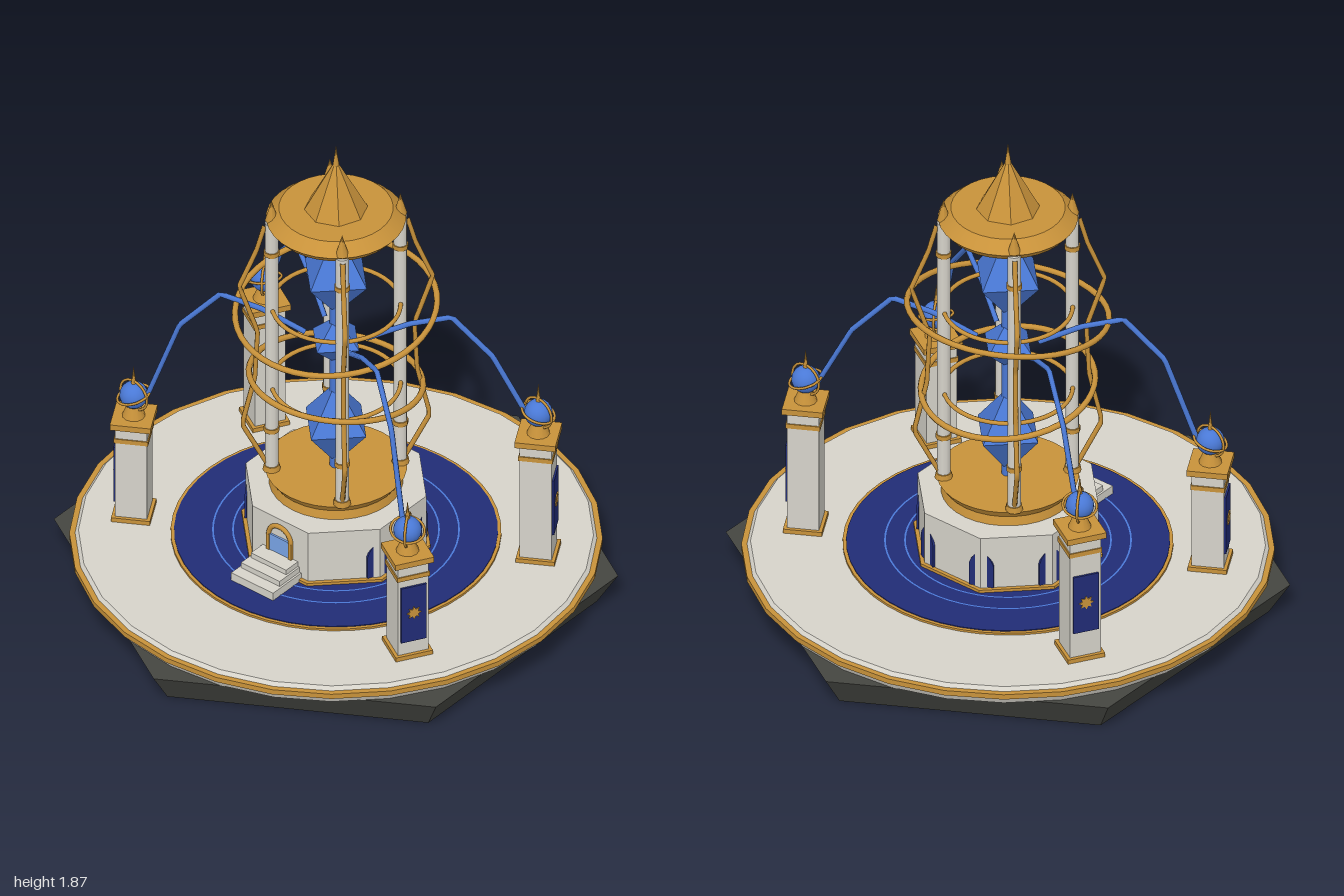
import * as THREE from 'three';

const mat = (name, color, flatShading = false) => {
  const m = new THREE.MeshStandardMaterial({ color, flatShading });
  m.name = name;
  return m;
};

export function createModel() {
  const root = new THREE.Group();
  root.name = 'crystalTower';
  const gold = mat('gold', 0xc8923a);
  const stone = mat('paleStone', 0xd6d3ca);
  const navy = mat('navy', 0x212c76);
  const blue = mat('crystalBlue', 0x4a79d6);
  const glass = mat('doorBlue', 0x7ba6ea);
  const rock = mat('darkRock', 0x454641);
  const FLAT = { flat: true };

  const add = (parent, name, geo, material, x = 0, y = 0, z = 0) => {
    const mesh = new THREE.Mesh(geo, material);
    mesh.name = name;
    mesh.position.set(x, y, z);
    parent.add(mesh);
    return mesh;
  };
  // cylinder given by its bottom and top heights; few-sided ones get hard facets
  const drum = (parent, name, material, rBottom, rTop, y0, y1, sides = 32, opts = {}) => {
    let geo = new THREE.CylinderGeometry(rTop, rBottom, y1 - y0, sides);
    if (opts.turn) geo.rotateY(opts.turn);
    if (opts.flat) { geo = geo.toNonIndexed(); geo.computeVertexNormals(); }
    return add(parent, name, geo, material, opts.x || 0, (y0 + y1) / 2, opts.z || 0);
  };
  const box = (parent, name, material, w, y0, y1, d, x = 0, z = 0) =>
    add(parent, name, new THREE.BoxGeometry(w, y1 - y0, d), material, x, (y0 + y1) / 2, z);
  const ring = (parent, name, material, r, tube, y, tilt = 0) => {
    const m = add(parent, name, new THREE.TorusGeometry(r, tube, 8, 48), material, 0, y, 0);
    m.rotation.x = Math.PI / 2 + tilt;
    return m;
  };
  // group whose local +z points away from the centre
  const spoke = (name, angle) => {
    const g = new THREE.Group();
    g.name = name;
    g.rotation.y = angle;
    root.add(g);
    return g;
  };
  // angular tube through points given as [outward, height]
  const bentRod = (parent, name, material, pts, radius) => {
    const path = new THREE.CurvePath();
    const v = pts.map(([r, y]) => new THREE.Vector3(0, y, r));
    for (let i = 1; i < v.length; i++) path.add(new THREE.LineCurve3(v[i - 1], v[i]));
    return add(parent, name, new THREE.TubeGeometry(path, 40, radius, 6), material);
  };

  // rock base and round platform
  drum(root, 'rockBase', rock, 0.925, 1, 0, 0.12, 6, FLAT);
  drum(root, 'platformFoot', stone, 0.905, 0.92, 0.12, 0.152, 28);
  drum(root, 'platformBand', gold, 0.932, 0.932, 0.152, 0.172, 28);
  drum(root, 'platformTop', stone, 0.912, 0.9, 0.172, 0.185, 28);
  drum(root, 'plazaRim', gold, 0.578, 0.578, 0.185, 0.193, 48);
  drum(root, 'plazaFloor', navy, 0.566, 0.566, 0.185, 0.196, 48);
  for (const r of [0.36, 0.43]) {
    const inlay = add(root, 'plazaInlay', new THREE.RingGeometry(r - 0.003, r + 0.003, 64), blue, 0, 0.198, 0);
    inlay.rotation.x = -Math.PI / 2;
  }

  // octagonal hall
  const turn = Math.PI / 8;
  drum(root, 'hallPlinth', gold, 0.345, 0.345, 0.19, 0.207, 8, { flat: true, turn });
  drum(root, 'hall', stone, 0.33, 0.33, 0.2, 0.415, 8, { flat: true, turn });
  drum(root, 'hallCollar', gold, 0.235, 0.225, 0.415, 0.45);
  drum(root, 'hallDeck', gold, 0.23, 0.25, 0.45, 0.48);

  // pointed windows wrapped on the hall corners
  const arch = new THREE.Shape();
  arch.moveTo(-0.045, 0.21);
  arch.lineTo(0.045, 0.21);
  arch.lineTo(0.045, 0.3);
  arch.quadraticCurveTo(0.035, 0.335, 0, 0.36);
  arch.quadraticCurveTo(-0.035, 0.335, -0.045, 0.3);
  const archGeo = new THREE.ExtrudeGeometry(arch, { depth: 0.008, bevelEnabled: false, curveSegments: 4 });
  for (const side of [-1, 1]) for (const deg of [67.5, 112.5, 157.5])
    add(spoke('windowBay', side * deg * Math.PI / 180), 'window', archGeo, navy, 0, 0, 0.313);

  // door and steps
  box(root, 'door', glass, 0.09, 0.2, 0.338, 0.012, 0, 0.306);
  add(root, 'doorArch', new THREE.TorusGeometry(0.05, 0.009, 8, 16, Math.PI), gold, 0, 0.335, 0.308);
  for (const s of [-1, 1]) box(root, 'doorPost', gold, 0.014, 0.2, 0.336, 0.016, s * 0.05, 0.308);
  [[0.19, 0.46, 0.228], [0.175, 0.415, 0.25], [0.16, 0.37, 0.27]].forEach(([w, z, y]) =>
    box(root, 'step', stone, w, 0.19, y, z - 0.29, 0, (z + 0.29) / 2));

  // crystal core
  drum(root, 'coreRod', blue, 0.022, 0.022, 0.48, 1.54, 8);
  for (const [y0, yMid, y1, r] of [[0.49, 0.665, 0.84, 0.137], [0.925, 1.025, 1.125, 0.105], [1.14, 1.31, 1.51, 0.14]]) {
    drum(root, 'crystalLower', blue, 0, r, y0, yMid, 4, FLAT);
    drum(root, 'crystalUpper', blue, r, 0, yMid, y1, 4, FLAT);
  }

  // columns with bands, finials and bowed ribs
  for (let i = 0; i < 4; i++) {
    const g = spoke('columnBay', Math.PI / 4 + i * Math.PI / 2);
    const at = { z: 0.226 };
    drum(g, 'column', stone, 0.024, 0.024, 0.48, 1.55, 10, at);
    for (const y of [0.655, 1.42]) drum(g, 'columnBand', gold, 0.028, 0.028, y - 0.009, y + 0.009, 10, at);
    drum(g, 'columnFoot', gold, 0.032, 0.028, 0.478, 0.5, 10, at);
    drum(g, 'finial', gold, 0.024, 0, 1.56, 1.645, 8, at);
    bentRod(g, 'rib', gold, [[0.24, 0.5], [0.33, 0.68], [0.285, 0.88], [0.275, 1.08], [0.34, 1.28], [0.28, 1.43], [0.25, 1.54]], 0.009);
  }

  // hoops
  ring(root, 'upperHoop', gold, 0.355, 0.011, 1.168, 0.145);
  ring(root, 'lowerHoop', gold, 0.306, 0.011, 0.86, -0.14);
  ring(root, 'upperTie', gold, 0.226, 0.008, 1.18);
  ring(root, 'lowerTie', gold, 0.226, 0.008, 0.84);

  // roof and spire
  drum(root, 'roofBrim', gold, 0.222, 0.245, 1.53, 1.558);
  drum(root, 'roofDome', gold, 0.245, 0.2, 1.558, 1.598);
  drum(root, 'spire', gold, 0.113, 0.012, 1.595, 1.785, 8, FLAT);
  drum(root, 'spireTip', gold, 0.012, 0, 1.78, 1.87, 8);

  // eight-pointed emblem
  const star = new THREE.Shape();
  for (let i = 0; i < 16; i++) {
    const r = i % 2 ? 0.016 : 0.027, a = i * Math.PI / 8;
    star[i ? 'lineTo' : 'moveTo'](r * Math.cos(a), r * Math.sin(a));
  }
  const starGeo = new THREE.ExtrudeGeometry(star, { depth: 0.005, bevelEnabled: false });

  // corner pillars, the rear pair taller
  for (const deg of [60, -60, 120, -120]) {
    const rear = Math.abs(deg) > 90;
    const top = rear ? 0.69 : 0.59;
    const g = spoke('pillarBay', deg * Math.PI / 180);
    const d = 0.717;
    box(g, 'pillarBase', gold, 0.138, 0.185, 0.202, 0.138, 0, d);
    box(g, 'pillar', stone, 0.114, 0.2, top, 0.114, 0, d);
    box(g, 'pillarBand', gold, 0.122, top - 0.068, top - 0.05, 0.122, 0, d);
    box(g, 'pillarCap', gold, 0.145, top - 0.005, top + 0.018, 0.145, 0, d);
    const mid = rear ? 0.422 : 0.375;
    box(g, 'banner', navy, 0.094, mid - 0.118, mid + 0.118, 0.008, 0, d + 0.06);
    add(g, 'emblem', starGeo, gold, 0, mid + 0.005, d + 0.063);
    // caged orb
    const y = top + 0.106;
    drum(g, 'orbStand', gold, 0.042, 0.022, top + 0.015, top + 0.065, 12, { z: d });
    add(g, 'orb', new THREE.SphereGeometry(0.05, 20, 14), blue, 0, y, d);
    const hoopGeo = new THREE.TorusGeometry(0.06, 0.005, 6, 28);
    add(g, 'orbHoop', hoopGeo, gold, 0, y, d).rotation.y = Math.PI / 3;
    add(g, 'orbHoop', hoopGeo, gold, 0, y, d).rotation.x = Math.PI / 2 + 0.3;
    drum(g, 'orbSpike', gold, 0.009, 0, y + 0.05, y + 0.125, 6, { z: d });
    // energy arc from the orb to the core
    bentRod(g, 'energyArc', blue, [[0.67, y], [0.555, 1.02], [0.41, 1.172], [0.26, 1.125], [0.11, 1.045]], 0.01);
  }
  return root;
}
